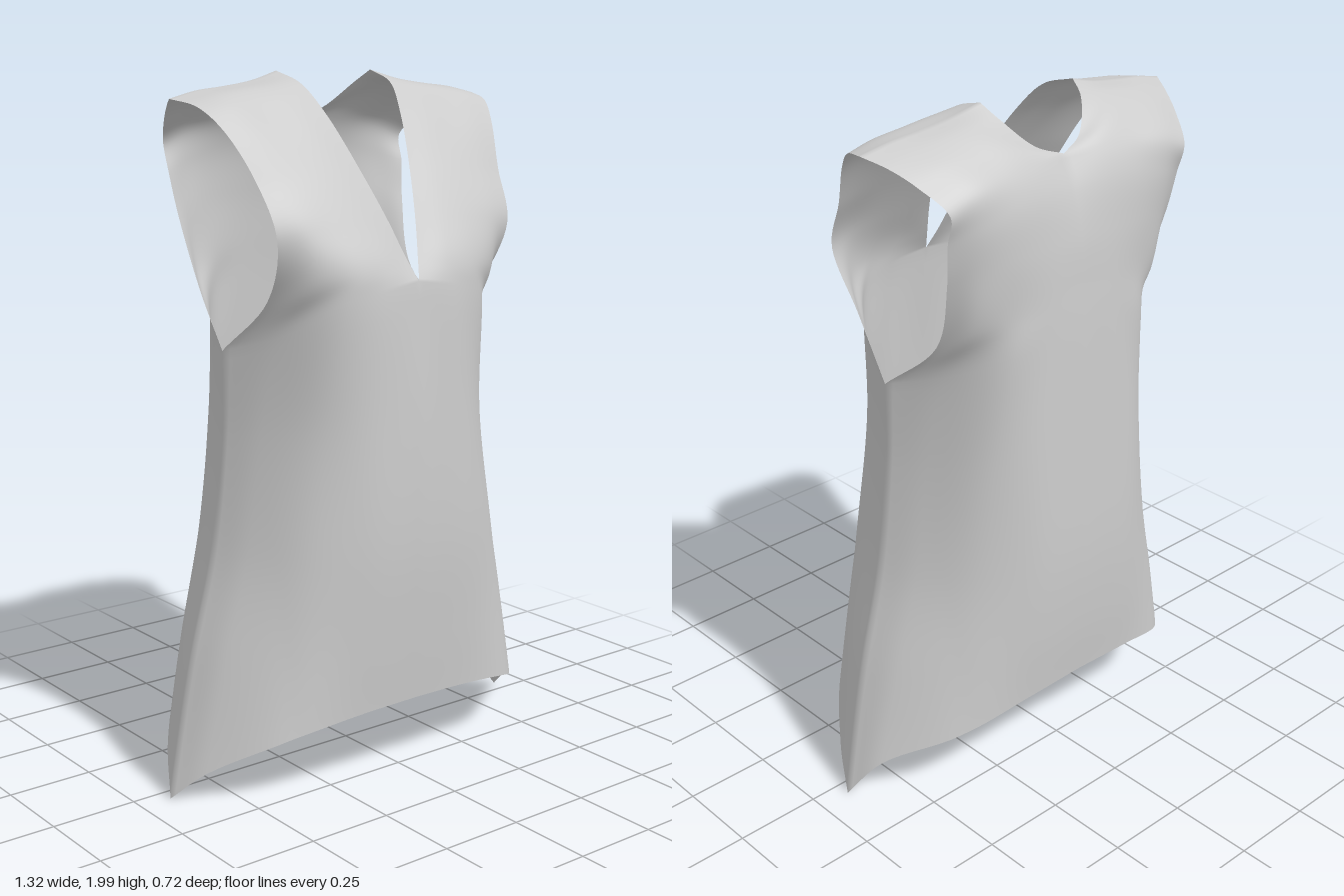
import * as THREE from 'three';
import { mergeGeometries, mergeVertices } from 'three/addons/utils/BufferGeometryUtils.js';

// Each row is a cross-section of one half, running from the centre (or neck edge) to the side (or armhole edge).
const SHOULDER = [[.168, 2, -.1], [.26, 1.975, -.09], [.36, 1.96, -.085], [.45, 1.95, -.08], [.54, 1.93, -.07]];

// Front: hem to waist, chest, then the straps beside the V neck
const frontLower = [
  [[0, .24, .33], [.2, .232, .322], [.41, .195, .275], [.59, .095, .1], [.658, .01, 0]],
  [[0, .42, .345], [.2, .42, .333], [.375, .41, .27], [.52, .39, .11], [.565, .38, 0]],
  [[0, .7, .362], [.19, .7, .345], [.335, .7, .265], [.435, .69, .115], [.478, .68, 0]],
  [[0, 1.05, .355], [.17, 1.05, .338], [.29, 1.04, .26], [.385, 1.02, .115], [.434, 1, 0]],
  [[0, 1.44, .325], [.12, 1.42, .332], [.25, 1.38, .3], [.355, 1.3, .165], [.43, 1.25, 0]],
];
const frontStrap = [
  [[.02, 1.5, .295], [.11, 1.49, .315], [.22, 1.475, .31], [.32, 1.45, .265], [.39, 1.4, .16]],
  [[.048, 1.6, .25], [.14, 1.6, .262], [.24, 1.6, .262], [.33, 1.59, .255], [.41, 1.57, .235]],
  [[.086, 1.73, .18], [.17, 1.74, .183], [.26, 1.74, .183], [.35, 1.73, .18], [.43, 1.72, .17]],
  [[.13, 1.88, .085], [.22, 1.88, .088], [.31, 1.87, .09], [.4, 1.865, .09], [.475, 1.85, .09]],
  [[.158, 1.965, .005], [.25, 1.955, .01], [.34, 1.945, .01], [.43, 1.93, .02], [.51, 1.91, .02]],
];

// Back: hem to waist, chest, then up and over the yoke
const backLower = [
  [[0, .29, -.34], [.2, .28, -.335], [.41, .22, -.275], [.59, .13, -.1], [.658, .01, 0]],
  [[0, .47, -.355], [.2, .46, -.345], [.375, .44, -.27], [.52, .4, -.11], [.565, .38, 0]],
  [[0, .7, -.362], [.19, .7, -.35], [.335, .7, -.265], [.435, .69, -.115], [.478, .68, 0]],
  [[0, 1.05, -.35], [.18, 1.05, -.34], [.3, 1.04, -.265], [.385, 1.02, -.115], [.434, 1, 0]],
  [[0, 1.4, -.335], [.13, 1.39, -.333], [.255, 1.36, -.3], [.36, 1.3, -.16], [.43, 1.25, 0]],
];
const backUpper = [
  [[0, 1.5, -.328], [.12, 1.5, -.328], [.24, 1.48, -.305], [.34, 1.45, -.255], [.39, 1.4, -.17]],
  [[0, 1.65, -.315], [.12, 1.65, -.318], [.24, 1.64, -.31], [.34, 1.63, -.285], [.41, 1.6, -.24]],
  [[0, 1.77, -.285], [.12, 1.78, -.297], [.24, 1.77, -.302], [.34, 1.75, -.295], [.425, 1.72, -.262]],
  [[0, 1.86, -.24], [.12, 1.86, -.262], [.24, 1.85, -.275], [.34, 1.835, -.285], [.43, 1.8, -.28]],
  [[.08, 1.89, -.215], [.18, 1.915, -.22], [.28, 1.91, -.22], [.38, 1.895, -.218], [.47, 1.865, -.21]],
  [[.15, 1.965, -.15], [.24, 1.96, -.15], [.33, 1.947, -.15], [.42, 1.93, -.145], [.505, 1.905, -.14]],
];

const spline = (points) => new THREE.CatmullRomCurve3(points);

// Vertical curve through the rows; an edge column is split where the neck or armhole opens
function column(rows, j, corner) {
  const points = rows.map((r) => new THREE.Vector3(...r[j]));
  if (corner === undefined) return spline(points);
  const lower = spline(points.slice(0, corner + 1)), upper = spline(points.slice(corner));
  const c = corner / (rows.length - 1);
  return { getPoint: (t) => (t <= c ? lower.getPoint(t / c) : upper.getPoint((t - c) / (1 - c))) };
}

// The flared hem corners swing backwards on the left and forwards on the right
const swing = (p) => 0.2 * Math.max(0, p.x - 0.4) * Math.max(0, 0.9 - p.y);

// Smooth cloth surface through the rows; side = -1 mirrors it in x
function clothPatch(rows, neckRow, armpitRow, side, facing) {
  const nu = 28, nv = 8 * (rows.length - 1);
  const corners = { 0: neckRow, 4: armpitRow };
  const columns = rows[0].map((_, j) => column(rows, j, corners[j]));
  const position = [], index = [];
  for (let i = 0; i <= nv; i++) {
    const section = spline(columns.map((c) => c.getPoint(i / nv)));
    for (let j = 0; j <= nu; j++) {
      const p = section.getPoint(j / nu);
      position.push(p.x * side, p.y, p.z - side * swing(p));
      if (i === nv || j === nu) continue;
      const a = i * (nu + 1) + j, b = a + 1, d = a + nu + 1, c = d + 1;
      if (side * facing > 0) index.push(a, b, c, a, c, d);
      else index.push(a, c, b, a, d, c);
    }
  }
  const g = new THREE.BufferGeometry();
  g.setAttribute('position', new THREE.Float32BufferAttribute(position, 3));
  g.setIndex(index);
  return g;
}

export function createModel() {
  const front = [...frontLower, ...frontStrap, SHOULDER];
  const back = [...backLower, ...backUpper, SHOULDER];
  // Four quarters joined at the centre, side and shoulder seams
  const quarters = [1, -1].flatMap((side) => [
    clothPatch(front, 4, 4, side, 1),
    clothPatch(back, 8, 4, side, -1),
  ]);
  const geometry = mergeVertices(mergeGeometries(quarters), 1e-4);
  geometry.computeVertexNormals();

  const cloth = new THREE.MeshStandardMaterial({ color: 0xcccccc, side: THREE.DoubleSide });
  const garment = new THREE.Mesh(geometry, cloth);
  garment.name = 'garment';
  const tunic = new THREE.Group();
  tunic.name = 'sleevelessTunic';
  tunic.add(garment);
  return tunic;
}
